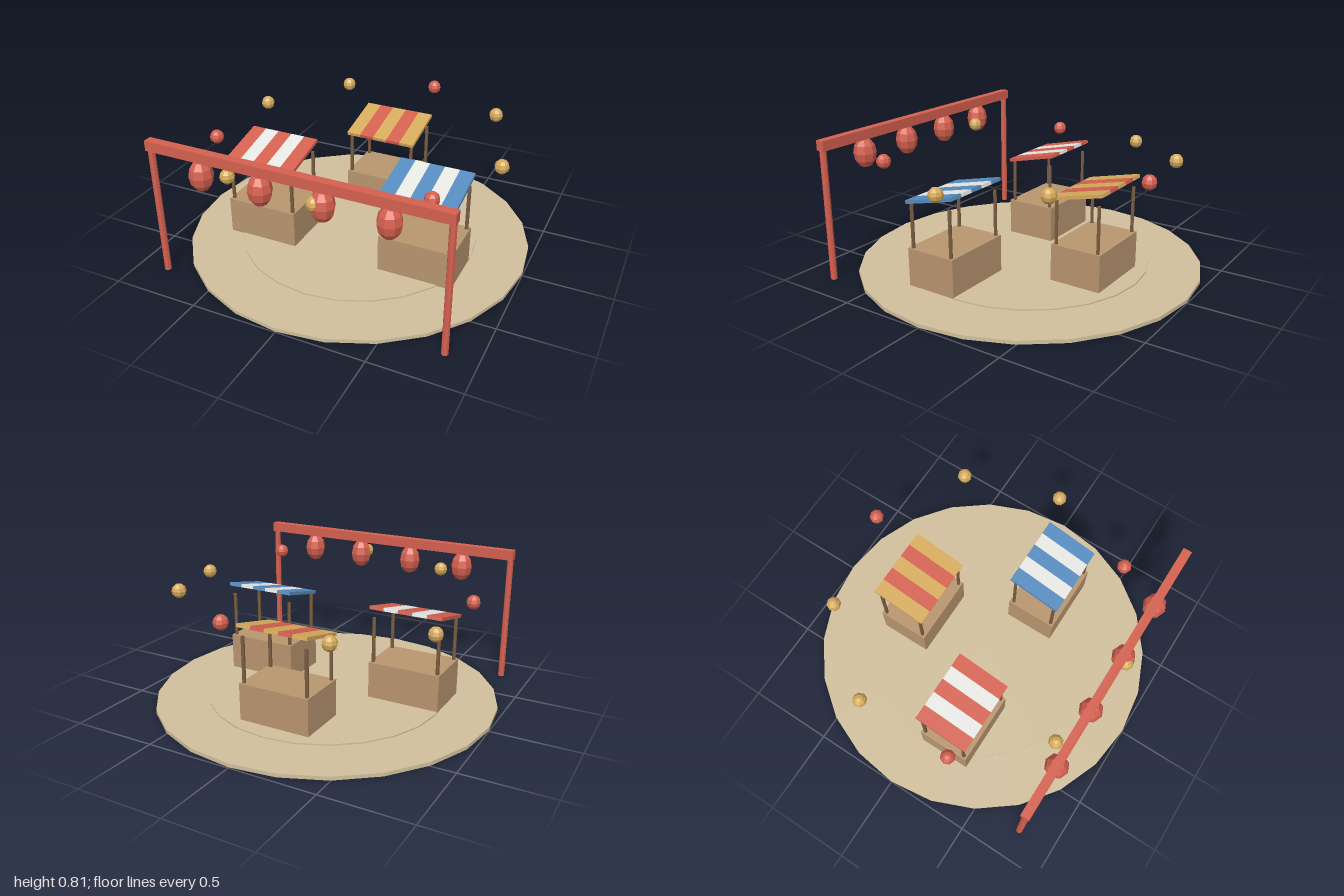
import * as THREE from 'three';

const mat = (name, color) => {
  const m = new THREE.MeshStandardMaterial({ color, flatShading: true });
  m.name = name;
  return m;
};

export function createModel() {
  const sand = mat('sand', 0xd0bf9c);
  const wood = mat('wood', 0xb8956f);
  const darkWood = mat('dark wood', 0x7a5c40);
  const red = mat('red', 0xd4604f);
  const gold = mat('gold', 0xd6ab5c);
  const blue = mat('blue', 0x568cc0);
  const white = mat('white', 0xe9e9e6);

  const model = new THREE.Group();
  model.name = 'festivalMarket';

  const add = (parent, name, geometry, material, x, y, z) => {
    const mesh = new THREE.Mesh(geometry, material);
    mesh.name = name;
    mesh.position.set(x, y, z);
    parent.add(mesh);
    return mesh;
  };
  const group = (name, x = 0, z = 0) => {
    const g = new THREE.Group();
    g.name = name;
    g.position.set(x, 0, z);
    model.add(g);
    return g;
  };

  // Round plaza with a slightly raised inner circle
  add(model, 'plaza', new THREE.CylinderGeometry(1, 1, 0.021, 24), sand, 0, 0.0145, 0);
  add(model, 'innerCircle', new THREE.CylinderGeometry(0.695, 0.695, 0.012, 24), sand, 0, 0.027, 0);

  // Market stall: counter, four posts and a sloping striped awning
  const W = 0.43;
  const counterGeo = new THREE.BoxGeometry(W, 0.22, 0.305);
  const postGeo = new THREE.CylinderGeometry(0.0105, 0.0105, 0.516, 6);
  const stripeGeo = new THREE.BoxGeometry(W / 5, 0.02, 0.32);
  const stall = (name, x, z, colorA, colorB) => {
    const g = group(name, x, z);
    add(g, 'counter', counterGeo, wood, 0, 0.138, 0);
    for (const sx of [-1, 1]) {
      for (const sz of [-1, 1]) {
        add(g, 'post', postGeo, darkWood, sx * 0.196, 0.258, sz * 0.13);
      }
    }
    const awning = new THREE.Group();
    awning.name = 'awning';
    awning.position.y = 0.545;
    awning.rotation.x = 0.23;
    g.add(awning);
    for (let i = 0; i < 5; i++) {
      add(awning, 'awningStripe', stripeGeo, i % 2 ? colorB : colorA, (i - 2) * W / 5, 0, 0);
    }
  };
  stall('rightStall', -0.478, 0.175, red, white);
  stall('backStall', 0, -0.433, gold, red);
  stall('leftStall', 0.478, 0.175, blue, white);

  // Entrance gate with four hanging lanterns
  const gate = group('gate', 0, 0.784);
  const poleGeo = new THREE.CylinderGeometry(0.019, 0.019, 0.77, 8);
  for (const s of [-1, 1]) add(gate, 'gatePole', poleGeo, red, s * 0.826, 0.385, 0);
  add(gate, 'gateBeam', new THREE.BoxGeometry(1.69, 0.058, 0.05), red, 0, 0.781, 0);
  const bigLantern = new THREE.SphereGeometry(0.066, 8, 6).scale(1, 1.35, 1);
  for (let i = 0; i < 4; i++) {
    add(gate, 'gateLantern', bigLantern, red, (i - 1.5) * 0.348, 0.672, 0);
  }

  // Ring of small lanterns bobbing around the plaza
  const ring = group('lanternRing');
  const smallLantern = new THREE.SphereGeometry(0.041, 8, 6);
  for (let i = 0; i < 9; i++) {
    const a = i * Math.PI * 2 / 9;
    add(ring, 'ringLantern', smallLantern, i % 3 === 1 ? red : gold,
      0.826 * Math.cos(a), 0.65 + 0.043 * Math.sin(i), 0.826 * Math.sin(a));
  }

  return model;
}
